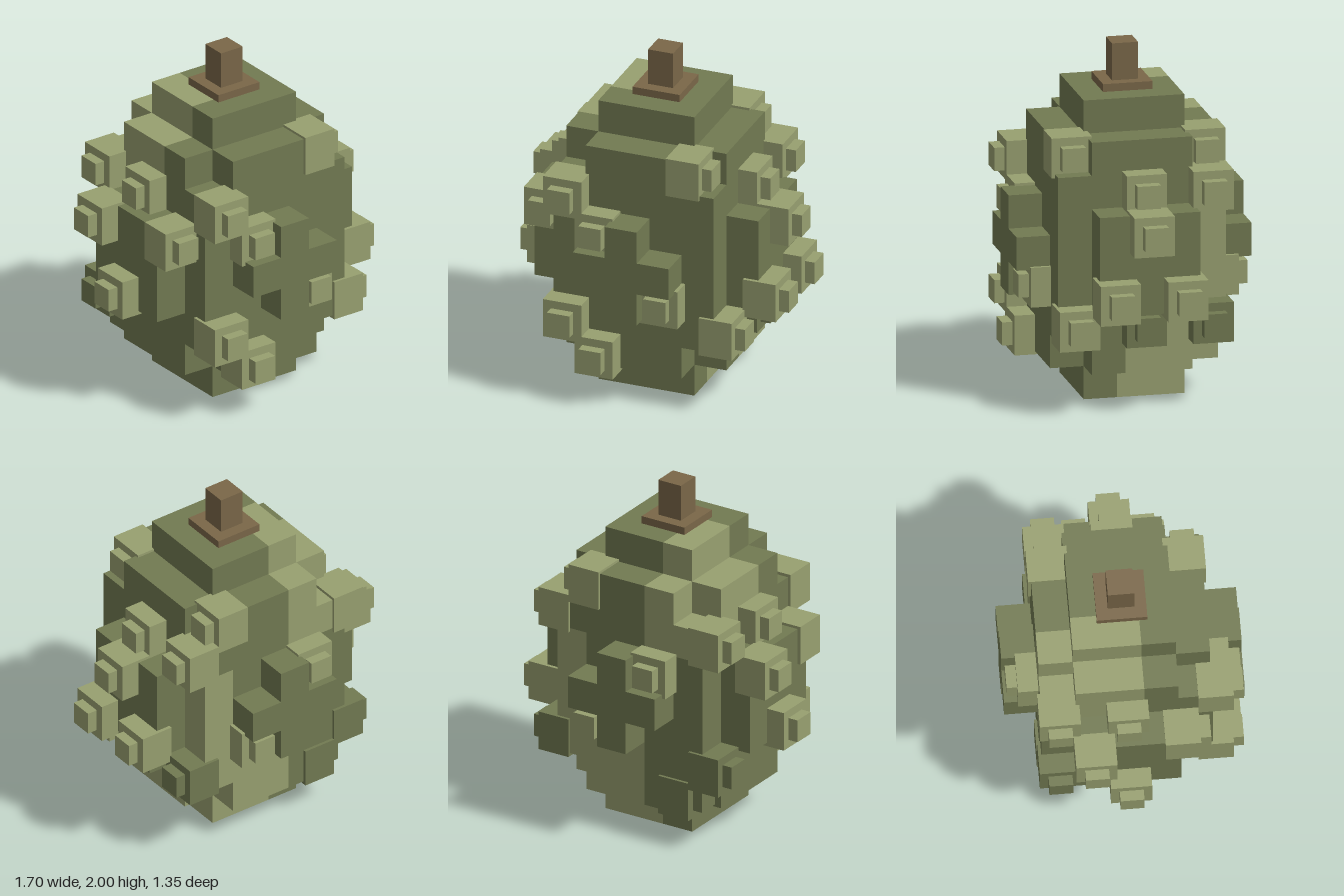
import * as THREE from 'three';

const mat = (name, color) => {
  const m = new THREE.MeshStandardMaterial({ color });
  m.name = name;
  return m;
};

const U = 1.74 / 9; // edge of one body block

// Which blocks of the stepped body are filled (i, k from -3 to 3; j from 0 to 8)
function solid(i, j, k) {
  const a = Math.abs(i), c = Math.abs(k), m = Math.max(a, c), n = Math.min(a, c);
  if (j < 0 || j > 8 || m > 3) return false;
  if (m <= 1) return true;
  if (m === 2) return n <= 1 ? j >= 1 && j <= 7 : j >= 2 && j <= 6;
  if (j < 3 || j > 5) return false;
  if (a === 3) return c <= 1;              // side slabs
  return a === 0 || (a === 1 && j === 4);  // front and back crosses
}

// Which blocks belong to the pale patches
function pale(i, j, k) {
  if (Math.max(Math.abs(i), Math.abs(k)) === 3) return false;
  if (j <= 2) return i >= 0 && k <= 0;
  if (j <= 5) return i === 2 && k === -2;
  return i <= -1 && k <= 0;
}

// Exposed block faces of one colour
function bodyGeometry(wantPale) {
  const pos = [], nor = [];
  const corners = [[-1, -1], [1, -1], [1, 1], [-1, -1], [1, 1], [-1, 1]];
  for (let i = -3; i <= 3; i++) for (let j = 0; j <= 8; j++) for (let k = -3; k <= 3; k++) {
    if (!solid(i, j, k)) continue;
    for (let axis = 0; axis < 3; axis++) for (const s of [-1, 1]) {
      const n = [0, 0, 0];
      n[axis] = s;
      if (solid(i + n[0], j + n[1], k + n[2])) continue;
      const under = j === 0 && n[1] === -1;
      if ((pale(i, j, k) && !under) !== wantPale) continue;
      const u = (axis + 1) % 3, v = (axis + 2) % 3;
      for (const [p, q] of corners) {
        const c = [i, j + 0.5, k];
        c[axis] += s / 2;
        c[u] += (p * s) / 2;
        c[v] += q / 2;
        pos.push(c[0] * U, c[1] * U, c[2] * U);
        nor.push(...n);
      }
    }
  }
  const g = new THREE.BufferGeometry();
  g.setAttribute('position', new THREE.Float32BufferAttribute(pos, 3));
  g.setAttribute('normal', new THREE.Float32BufferAttribute(nor, 3));
  return g;
}

export function createModel() {
  const group = new THREE.Group();
  group.name = 'spikyFruit';
  const dark = mat('dark olive', 0x727a52);
  const light = mat('pale olive', 0x98a070);
  const brown = mat('stem brown', 0x7a6748);

  const box = (parent, name, material, size, at) => {
    const m = new THREE.Mesh(new THREE.BoxGeometry(...size), material);
    m.name = name;
    m.position.set(...at);
    parent.add(m);
  };

  // Body
  for (const [name, isPale, m] of [['body', false, dark], ['bodyPatch', true, light]]) {
    const mesh = new THREE.Mesh(bodyGeometry(isPale), m);
    mesh.name = name;
    group.add(mesh);
  }

  // Stem
  box(group, 'stemBase', brown, [0.285, 0.045, 0.285], [0, 1.7625, 0]);
  box(group, 'stem', brown, [0.15, 0.215, 0.15], [0, 1.8925, 0]);

  // Knobs: a block with a small tip. Lists hold [sideways position, height, outer end, is dark]
  const knob = (dir, [side, y, end, isDark]) => {
    const g = new THREE.Group();
    g.name = 'knob';
    const m = isDark ? dark : light;
    box(g, 'knobBlock', m, [0.232, 0.232, 0.2], [0, 0, -0.1]);
    box(g, 'knobTip', m, [0.135, 0.135, 0.06], [0, 0, 0.03]);
    if (dir.x) g.position.set(dir.x * end, y, side);
    else g.position.set(side, y, dir.z * end);
    g.rotation.y = Math.atan2(dir.x, dir.z);
    group.add(g);
  };

  const front = [
    [-0.385, 1.255, 0.6], [-0.195, 1.06, 0.6], [-0.58, 1.06, 0.4],
    [0.195, 0.675, 0.6], [-0.385, 0.485, 0.6], [-0.195, 0.29, 0.6],
  ];
  const back = [[-0.195, 1.06, 0.6], [0.195, 0.675, 0.6]];
  const left = [
    [0.385, 1.445, 0.4], [-0.385, 1.445, 0.4], [0, 1.255, 0.6], [-0.385, 1.255, 0.6],
    [0, 1.06, 0.79], [0.195, 0.675, 0.79], [-0.195, 0.675, 0.79],
    [0.385, 0.485, 0.6], [0, 0.485, 0.6, true], [-0.385, 0.485, 0.6, true],
  ];
  const right = [
    [-0.385, 1.255, 0.6], [0, 1.255, 0.6], [-0.195, 1.06, 0.79],
    [0, 0.675, 0.79], [-0.385, 0.485, 0.6, true], [-0.385, 0.29, 0.4, true],
  ];
  front.forEach((k) => knob({ x: 0, z: 1 }, k));
  back.forEach((k) => knob({ x: 0, z: -1 }, k));
  left.forEach((k) => knob({ x: 1, z: 0 }, k));
  right.forEach((k) => knob({ x: -1, z: 0 }, k));

  return group;
}
